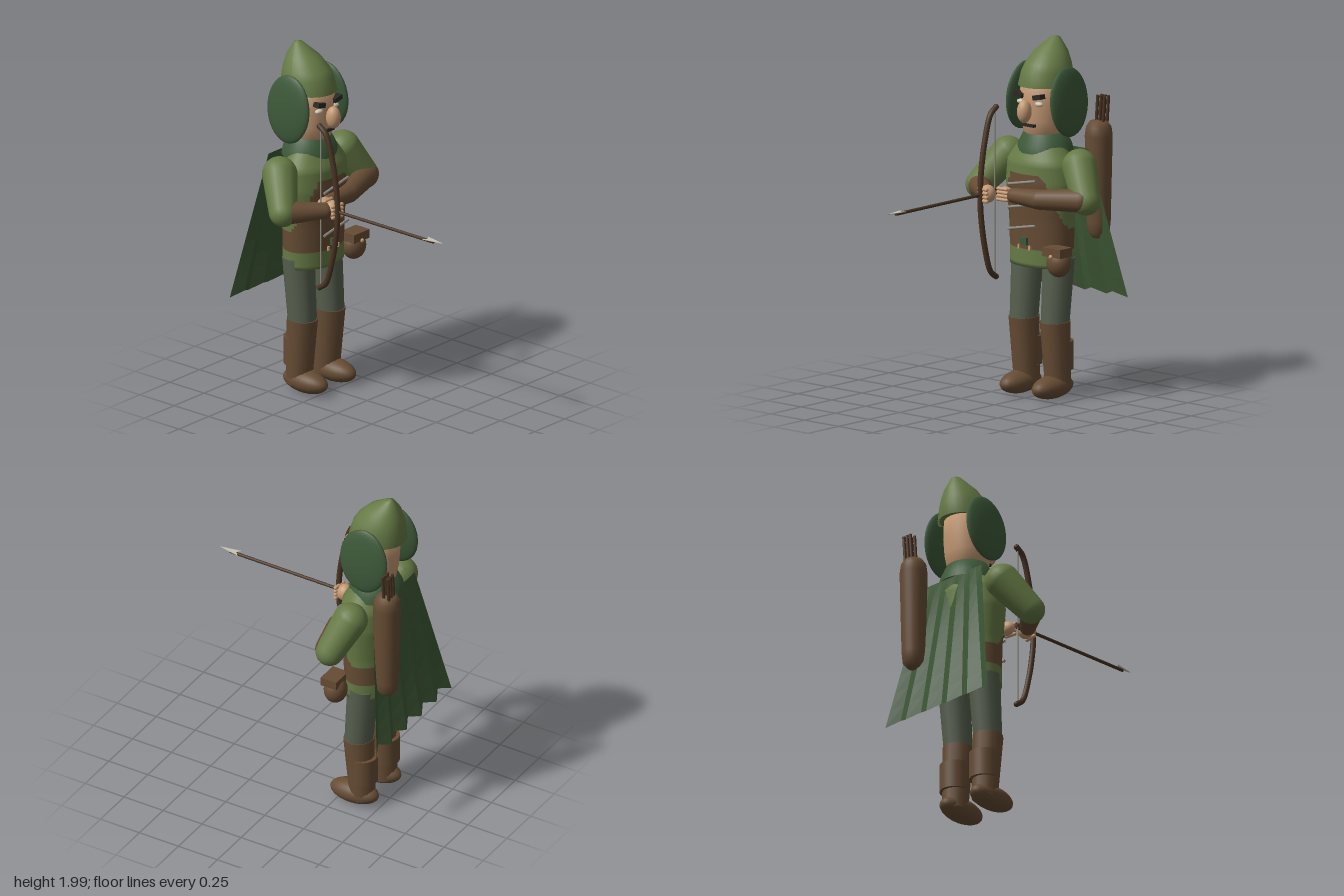
import * as THREE from 'three';

const mat = (name, color) => {
  const m = new THREE.MeshStandardMaterial({ color, side: THREE.DoubleSide });
  m.name = name;
  return m;
};
const V = (x, y, z) => new THREE.Vector3(x, y, z);
const UP = V(0, 1, 0);

export function createModel() {
  const M = {
    green: mat('leaf green', 0x667a45), dark: mat('forest green', 0x3c5838), cape: mat('cape green', 0x3d5735),
    trousers: mat('grey green', 0x565f4e), leather: mat('leather brown', 0x664c34), wood: mat('dark wood', 0x4a3423),
    skin: mat('skin', 0xc49973), black: mat('near black', 0x2b2822), rope: mat('rope grey', 0x8c887e), pale: mat('pale', 0xc9c5b4),
  };
  const root = new THREE.Group();
  root.name = 'archer';

  const add = (name, geo, material, pos) => {
    const m = new THREE.Mesh(geo, material);
    m.name = name;
    if (pos) m.position.set(...pos);
    root.add(m);
    return m;
  };
  const ball = (name, material, pos, size) => {
    const m = add(name, new THREE.SphereGeometry(1, 24, 16), material, pos);
    m.scale.set(...size);
    return m;
  };
  const box = (name, material, pos, size) => add(name, new THREE.BoxGeometry(...size), material, pos);
  const lathe = (pts, seg = 32) => new THREE.LatheGeometry(pts.map(p => new THREE.Vector2(...p)), seg);
  // Rounded, tapering limb between two points
  const limb = (name, material, a, b, ra, rb) => {
    const d = b.clone().sub(a), len = d.length(), pts = [];
    for (let i = 0; i <= 6; i++) {
      const t = i / 6 * Math.PI / 2;
      pts.push([ra * Math.sin(t), -ra * Math.cos(t)]);
    }
    for (let i = 0; i <= 6; i++) {
      const t = i / 6 * Math.PI / 2;
      pts.push([rb * Math.cos(t), len + rb * Math.sin(t)]);
    }
    const m = add(name, lathe(pts, 20), material, a.toArray());
    m.quaternion.setFromUnitVectors(UP, d.normalize());
    return m;
  };
  // Plain stick between two points
  const rod = (name, material, a, b, r, r2 = r) => {
    const d = b.clone().sub(a);
    const m = add(name, new THREE.CylinderGeometry(r2, r, d.length(), 14), material,
      a.clone().add(b).multiplyScalar(0.5).toArray());
    m.quaternion.setFromUnitVectors(UP, d.normalize());
    return m;
  };

  // Torso: one oval body, with the leather vest on the front as a second material
  const outline = [[0.2, 0.74], [0.2, 0.84], [0.205, 1.0], [0.225, 1.2], [0.215, 1.32], [0.15, 1.41]];
  const prof = [[0, 0.74]];
  for (let i = 0; i < outline.length - 1; i++) {
    const [r0, y0] = outline[i], [r1, y1] = outline[i + 1], n = Math.round((y1 - y0) / 0.02);
    for (let k = 0; k < n; k++) prof.push([r0 + (r1 - r0) * k / n, y0 + (y1 - y0) * k / n]);
  }
  prof.push([0.15, 1.41]);
  const torso = lathe(prof, 56);
  torso.scale(0.7, 1, 1);
  const p = torso.attributes.position, ix = torso.index.array, vest = [], shirt = [];
  for (let i = 0; i < ix.length; i += 3) {
    const f = [ix[i], ix[i + 1], ix[i + 2]];
    const x = f.reduce((s, v) => s + p.getX(v), 0) / 3, y = f.reduce((s, v) => s + p.getY(v), 0) / 3;
    const top = Math.min(1.26, 0.96 + 14 * Math.max(0, x + 0.01) ** 2);
    (y > 0.84 && y < top ? vest : shirt).push(...f);
  }
  torso.setIndex([...vest, ...shirt]);
  torso.addGroup(0, vest.length, 0);
  torso.addGroup(vest.length, shirt.length, 1);
  add('torso', torso, [M.leather, M.green], [-0.39, 0, 0]);

  // Vest lacing, buckle and tabs
  for (const y of [1.215, 1.085, 0.965]) {
    rod('vestLace', M.rope, V(-0.225, y - 0.02, 0.1), V(-0.225, y + 0.02, -0.1), 0.008);
  }
  box('buckle', M.dark, [-0.242, 0.885, 0], [0.02, 0.04, 0.045]);
  for (const z of [0.04, -0.04]) box('buckleTab', M.skin, [-0.245, 0.85, z], [0.012, 0.025, 0.012]);

  // Collar and head
  const collar = lathe([[0.165, 1.37], [0.155, 1.41], [0.12, 1.48], [0.09, 1.48]]);
  collar.scale(0.92, 1, 1);
  add('collar', collar, M.dark, [-0.415, 0, 0]);
  add('head', lathe([[0, 1.45], [0.09, 1.455], [0.115, 1.48], [0.128, 1.55], [0.135, 1.65], [0.13, 1.8], [0, 1.82]]),
    M.skin, [-0.41, 0, 0]);
  ball('nose', M.skin, [-0.245, 1.61, 0], [0.042, 0.064, 0.04]);
  box('mouth', M.black, [-0.288, 1.528, 0], [0.035, 0.015, 0.085]);
  for (const s of [1, -1]) {
    ball('eye', M.pale, [-0.292, 1.652, s * 0.066], [0.018, 0.014, 0.027]);
    const brow = box('eyebrow', M.black, [-0.285, 1.693, s * 0.07], [0.04, 0.026, 0.06]);
    brow.rotation.x = -s * 0.2;
    ball('hoodSide', M.dark, [-0.43, 1.658, s * 0.163], [0.15, 0.194, 0.034]).rotation.x = -s * 0.08;
  }

  // Peaked hat, its tip pulled backwards
  const hat = lathe([[0, 1.77], [0.15, 1.75], [0.165, 1.74], [0.15, 1.82], [0.135, 1.86], [0.1, 1.92], [0.03, 1.99], [0, 2]]);
  const hp = hat.attributes.position;
  for (let i = 0; i < hp.count; i++) {
    const k = Math.max(0, hp.getY(i) - 1.74) / 0.26;
    hp.setXYZ(i, hp.getX(i) - 0.425 - 0.08 * k * k, hp.getY(i), hp.getZ(i) * 0.9);
  }
  hat.computeVertexNormals();
  add('hat', hat, M.green);

  // Legs and boots
  for (const s of [1, -1]) {
    const z = s * 0.115;
    rod('trouserLeg', M.trousers, V(-0.37, 0.42, z), V(-0.4, 0.79, z), 0.08, 0.09);
    rod('bootShaft', M.leather, V(-0.395, 0.05, z), V(-0.37, 0.435, z), 0.072, 0.086);
    ball('bootFoot', M.leather, [-0.345, 0.07, s * 0.118], [0.15, 0.065, 0.076]).rotation.z = -0.03;
    const flap = new THREE.CylinderGeometry(0.085, 0.085, 0.16, 14, 1, false, Math.PI, Math.PI);
    add('bootFlap', flap, M.leather, [-0.395, 0.245, z]);
  }

  // Arms: left holds the bow, right draws the string
  limb('leftSleeve', M.green, V(-0.405, 1.315, 0.265), V(-0.29, 1.145, 0.37), 0.098, 0.078);
  limb('rightSleeve', M.green, V(-0.405, 1.315, -0.265), V(-0.34, 1.145, -0.37), 0.098, 0.08);
  limb('leftForearm', M.leather, V(-0.27, 1.145, 0.35), V(-0.14, 1.145, 0.195), 0.066, 0.045);
  limb('rightForearm', M.leather, V(-0.315, 1.15, -0.36), V(-0.235, 1.135, -0.12), 0.066, 0.056);
  limb('rightWrist', M.leather, V(-0.235, 1.135, -0.12), V(-0.225, 1.135, 0.06), 0.056, 0.042);
  ball('leftHand', M.skin, [-0.118, 1.148, 0.155], [0.045, 0.05, 0.045]);
  ball('rightHand', M.skin, [-0.215, 1.14, 0.11], [0.035, 0.04, 0.05]);
  for (let i = 0; i < 4; i++) {
    limb('leftFinger', M.skin, V(-0.085, 1.18 - i * 0.022, 0.19), V(-0.075, 1.18 - i * 0.022, 0.125), 0.011, 0.011);
    limb('rightFinger', M.skin, V(-0.19, 1.17 - i * 0.02, 0.08), V(-0.185, 1.17 - i * 0.02, 0.14), 0.01, 0.01);
  }

  // Bow and string
  const bow = new THREE.CatmullRomCurve3([[-0.2, 1.62], [-0.155, 1.585], [-0.105, 1.43], [-0.075, 1.25], [-0.07, 1.145],
    [-0.075, 1.04], [-0.105, 0.86], [-0.155, 0.705], [-0.2, 0.67]].map(([x, y]) => V(x, y, 0.168)));
  add('bow', new THREE.TubeGeometry(bow, 48, 0.016, 10), M.wood);
  for (const y of [1.62, 0.67]) ball('bowTip', M.wood, [-0.2, y, 0.168], [0.016, 0.016, 0.016]);
  rod('bowString', M.rope, V(-0.19, 0.675, 0.168), V(-0.19, 1.615, 0.168), 0.004);

  // Nocked arrow with a flat head
  rod('arrowShaft', M.wood, V(-0.2, 1.147, 0.165), V(0.625, 1.147, 0.165), 0.009);
  box('fletching', M.wood, [-0.13, 1.147, 0.165], [0.14, 0.008, 0.036]);
  box('fletchingUpright', M.wood, [-0.13, 1.147, 0.165], [0.14, 0.036, 0.008]);
  const tip = new THREE.Shape([[0.565, 0.024], [0.585, 0], [0.565, -0.024], [0.688, 0]].map(q => new THREE.Vector2(...q)));
  const head = new THREE.ExtrudeGeometry(tip, { depth: 0.004, bevelEnabled: false });
  head.rotateX(Math.PI / 2);
  add('arrowHead', head, M.pale, [0, 1.157, 0.165]);

  // Quiver with spare arrows
  add('quiver', lathe([[0, 0.87], [0.035, 0.88], [0.06, 0.91], [0.066, 0.97], [0.077, 1.45], [0.07, 1.5], [0.05, 1.53], [0, 1.54]], 24),
    M.leather, [-0.613, 0, -0.218]);
  for (const x of [-0.645, -0.612]) {
    for (const z of [-0.2, -0.225, -0.25]) rod('spareArrow', M.wood, V(x, 1.45, z + 0.005), V(x, 1.675, z - 0.012), 0.009);
  }

  // Belt pouch
  ball('pouch', M.leather, [-0.285, 0.785, -0.218], [0.065, 0.078, 0.072]);
  box('pouchFlap', M.leather, [-0.275, 0.85, -0.215], [0.1, 0.05, 0.13]);
  ball('pouchButton', M.skin, [-0.222, 0.828, -0.215], [0.01, 0.012, 0.012]);

  // Pleated cape, flaring from the shoulders to the hem
  const cols = 10, rows = 8, pos = [], idx = [];
  for (let j = 0; j <= rows; j++) {
    for (let i = 0; i <= cols; i++) {
      const t = j / rows, u = i / cols * 2 - 1, fold = i % 2 ? 1 : -1;
      const hem = 0.575 + fold * 0.015;
      pos.push(-0.525 - 0.11 * t + fold * 0.02 * t, 1.39 + (hem - 1.39) * t, u * (0.22 + 0.175 * t));
      if (i < cols && j < rows) {
        const a = j * (cols + 1) + i, b = a + cols + 1;
        idx.push(a, a + 1, b, a + 1, b + 1, b);
      }
    }
  }
  let cape = new THREE.BufferGeometry();
  cape.setAttribute('position', new THREE.Float32BufferAttribute(pos, 3));
  cape.setIndex(idx);
  cape = cape.toNonIndexed();
  cape.computeVertexNormals();
  add('cape', cape, M.cape);

  return root;
}
